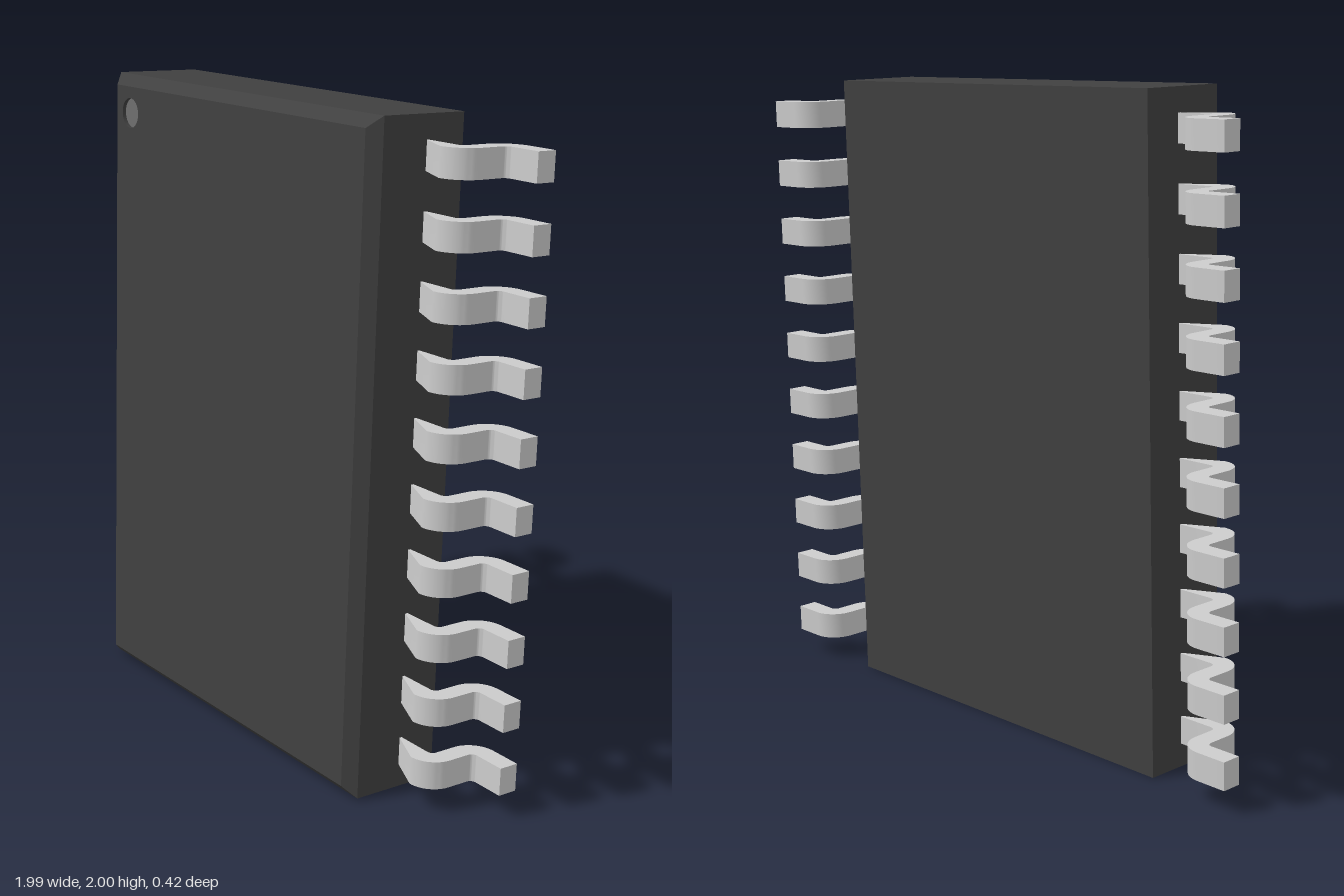
import * as THREE from 'three';
import { toCreasedNormals } from 'three/addons/utils/BufferGeometryUtils.js';

const BODY = { w: 0.677, h: 0.996, back: -0.135, front: 0.18, chamfer: 0.035 }; // half width, half height
const DOT = { x: -0.562, y: 0.878, r: 0.047, depth: 0.012 };
const PIN = { count: 10, pitch: 0.196, height: 0.085, thick: 0.062, bend: 0.08 };

const bodyMat = new THREE.MeshStandardMaterial({ color: 0x404040 });
const dotMat = new THREE.MeshStandardMaterial({ color: 0x6e6e6e });
const pinMat = new THREE.MeshStandardMaterial({ color: 0xcccccc });

function addMesh(parent, name, geometry, material) {
  const mesh = new THREE.Mesh(geometry, material);
  mesh.name = name;
  parent.add(mesh);
  return mesh;
}

// Corners of a rectangle at depth z, anticlockwise from the front
const ring = (w, h, z) => [[-w, -h, z], [w, -h, z], [w, h, z], [-w, h, z]];

// Back, sides and chamfer; the front is left open for the drilled face
function shellGeometry() {
  const { w, h, back, front, chamfer: c } = BODY;
  const rings = [ring(w, h, back), ring(w, h, front - c), ring(w - c, h - c, front)];
  const index = [0, 2, 1, 0, 3, 2];
  for (let k = 0; k < 2; k++) {
    for (let i = 0; i < 4; i++) {
      const a = k * 4 + i, b = k * 4 + (i + 1) % 4;
      index.push(a, b, b + 4, a, b + 4, a + 4);
    }
  }
  const geo = new THREE.BufferGeometry();
  geo.setAttribute('position', new THREE.Float32BufferAttribute(rings.flat(2), 3));
  geo.setIndex(index);
  const flat = geo.toNonIndexed();
  flat.computeVertexNormals();
  return flat;
}

// Front face with a round hole for the marker recess
function faceGeometry() {
  const w = BODY.w - BODY.chamfer, h = BODY.h - BODY.chamfer;
  const shape = new THREE.Shape(ring(w, h, 0).map(([x, y]) => new THREE.Vector2(x, y)));
  shape.holes.push(new THREE.Path().absarc(DOT.x, DOT.y, DOT.r, 0, Math.PI * 2, true));
  return new THREE.ShapeGeometry(shape, 16).translate(0, 0, BODY.front);
}

// Bent lead drawn in x and depth (shape y = -z), then extruded upwards
function pinGeometry(side) {
  const { thick: t, bend: R, height } = PIN;
  const r = R - t, front = -0.048, back = 0.182, end = 0.995, root = 0.66, outer = 0.875;
  const c1 = [outer - R, front + R], c2 = [outer - t + R, back - R];
  const q = Math.PI / 2;
  const path = new THREE.Path()
    .moveTo(root, front)
    .absarc(...c1, R, -q, 0, false)
    .absarc(...c2, r, 2 * q, q, true)
    .lineTo(end, back - t)
    .lineTo(end, back)
    .absarc(...c2, R, q, 2 * q, false)
    .absarc(...c1, r, 0, -q, true)
    .lineTo(root, front + t);
  const points = path.getPoints(6).map(p => new THREE.Vector2(p.x * side, p.y));
  const geo = new THREE.ExtrudeGeometry(new THREE.Shape(points), { depth: height, bevelEnabled: false });
  geo.translate(0, 0, -height / 2).rotateX(-Math.PI / 2);
  return toCreasedNormals(geo, 0.6);
}

export function createModel() {
  const model = new THREE.Group();
  model.name = 'chip';

  // Package body
  const body = new THREE.Group();
  body.name = 'body';
  model.add(body);
  addMesh(body, 'bodyShell', shellGeometry(), bodyMat);
  addMesh(body, 'bodyFace', faceGeometry(), bodyMat);

  // Recessed round marker in the upper corner
  const wallMat = bodyMat.clone();
  wallMat.side = THREE.DoubleSide;
  const wall = new THREE.CylinderGeometry(DOT.r, DOT.r, DOT.depth, 32, 1, true).rotateX(Math.PI / 2);
  addMesh(body, 'markerWall', wall, wallMat).position.set(DOT.x, DOT.y, BODY.front - DOT.depth / 2);
  addMesh(body, 'marker', new THREE.CircleGeometry(DOT.r, 32), dotMat)
    .position.set(DOT.x, DOT.y, BODY.front - DOT.depth);

  // Rows of leads on both sides
  for (const side of [-1, 1]) {
    const row = new THREE.Group();
    row.name = side > 0 ? 'leftPins' : 'rightPins';
    model.add(row);
    const geo = pinGeometry(side);
    for (let i = 0; i < PIN.count; i++) {
      addMesh(row, 'pin', geo, pinMat).position.y = (i - (PIN.count - 1) / 2) * PIN.pitch;
    }
  }

  // The whole part leans back slightly
  model.rotation.x = -0.03;
  model.position.y = 1;
  const root = new THREE.Group();
  root.name = 'model';
  root.add(model);
  return root;
}
